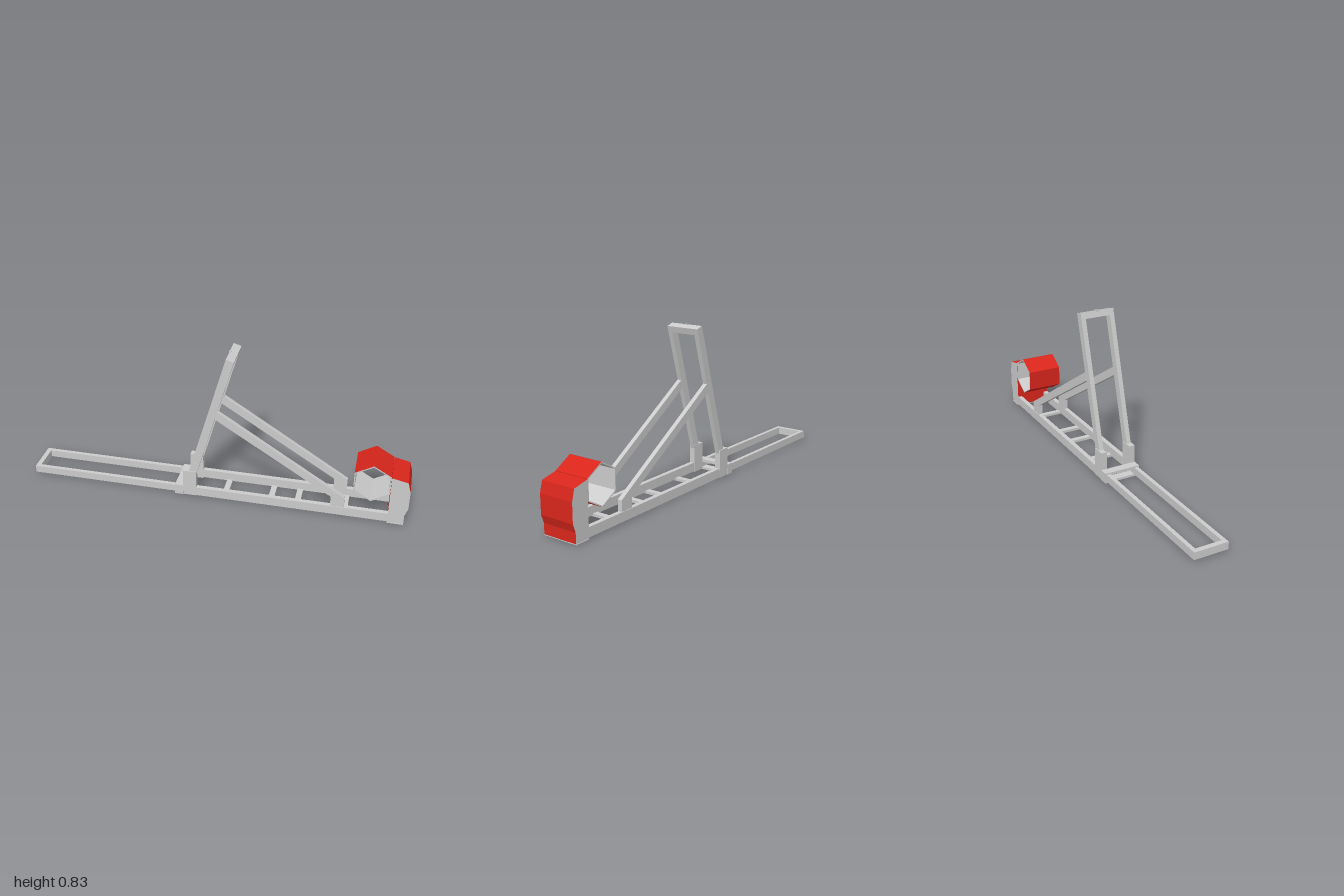
import * as THREE from 'three';

const grey = new THREE.MeshStandardMaterial({ color: 0xcccccc, flatShading: true });
const red = new THREE.MeshStandardMaterial({ color: 0xd9261c, flatShading: true });

export function createModel() {
  const model = new THREE.Group();

  const add = (name, geometry, material = grey) => {
    const mesh = new THREE.Mesh(geometry, material);
    mesh.name = name;
    model.add(mesh);
    return mesh;
  };

  // Box given by its limits on each axis
  const box = (name, x0, x1, y0, y1, z0, z1, material = grey) => {
    const g = new THREE.BoxGeometry(x1 - x0, y1 - y0, z1 - z0);
    g.translate((x0 + x1) / 2, (y0 + y1) / 2, (z0 + z1) / 2);
    return add(name, g, material);
  };

  // Side profile extruded from z0 to z1
  const slab = (name, points, z0, z1, material = grey) => {
    const shape = new THREE.Shape(points.map(([x, y]) => new THREE.Vector2(x, y)));
    const g = new THREE.ExtrudeGeometry(shape, { depth: z1 - z0, bevelEnabled: false });
    g.translate(0, 0, z0);
    return add(name, g, material);
  };

  // Parts that occur on both sides
  for (const s of [1, -1]) {
    const span = (a, b) => (s > 0 ? [a, b] : [-b, -a]);
    const side = s > 0 ? 'front' : 'back';
    box(side + 'BaseRail', -0.21, 0.905, 0.008, 0.056, ...span(0.072, 0.096));
    box(side + 'ExtensionRail', -1, -0.2, 0.014, 0.053, ...span(0.07, 0.091));
    box(side + 'Collar', -0.21, -0.165, 0.004, 0.06, ...span(0.07, 0.098));
    box(side + 'MastSocket', -0.165, -0.095, 0.006, 0.155, ...span(0.066, 0.097));
    slab(side + 'MastLeg',
      [[-0.16, 0.06], [-0.117, 0.06], [0.1, 0.818], [0.06, 0.83]], ...span(0.068, 0.092));
    slab(side + 'Brace',
      [[0.61, 0.05], [0.68, 0.05], [0.68, 0.112], [0.01, 0.535], [-0.002, 0.493], [0.61, 0.112]],
      ...span(0.069, 0.0925));
  }

  // Cross members of the base and extension
  box('extensionEndBar', -1, -0.975, 0.014, 0.053, -0.091, 0.091);
  box('collarTopPlate', -0.21, -0.165, 0.045, 0.06, -0.098, 0.098);
  box('collarBottomPlate', -0.21, -0.165, 0.004, 0.016, -0.098, 0.098);
  [0.053, 0.297, 0.436, 0.682].forEach((x, i) =>
    box('crossSlat' + (i + 1), x - 0.015, x + 0.015, 0.002, 0.016, -0.08, 0.08));

  // Mast head bar and its small pin
  slab('mastHeadBar',
    [[0.051, 0.798], [0.0905, 0.786], [0.1, 0.818], [0.06, 0.83]], -0.092, 0.092);
  box('mastPin', 0.058, 0.07, 0.815, 0.832, -0.008, 0.008);

  // Padded end block with grey sides
  slab('endBlock', [
    [0.903, 0.004], [0.985, 0.004], [0.985, 0.057], [1, 0.1],
    [1, 0.2], [0.985, 0.257], [0.903, 0.275],
  ], -0.096, 0.096, [grey, red]);
  box('endBlockBase', 0.903, 0.985, 0, 0.004, -0.098, 0.098);

  // Hexagonal tube: red outside, grey inside
  const tube = new THREE.Group();
  tube.name = 'hexTube';
  tube.position.set(0.81, 0.225, 0);
  const part = (name, g, material) => {
    const mesh = new THREE.Mesh(g, material);
    mesh.name = name;
    tube.add(mesh);
  };
  const wall = (r) => new THREE.CylinderGeometry(r, r, 0.19, 6, 1, true).rotateX(Math.PI / 2);
  const inner = grey.clone();
  inner.side = THREE.BackSide;
  part('tubeOuterWall', wall(0.106), red);
  part('tubeInnerWall', wall(0.099), inner);
  for (const s of [1, -1]) {
    const rim = new THREE.RingGeometry(0.099, 0.106, 6, 1, Math.PI / 2);
    if (s < 0) rim.rotateY(Math.PI);
    part('tubeRim', rim.translate(0, 0, s * 0.095), grey);
  }
  model.add(tube);

  return model;
}
